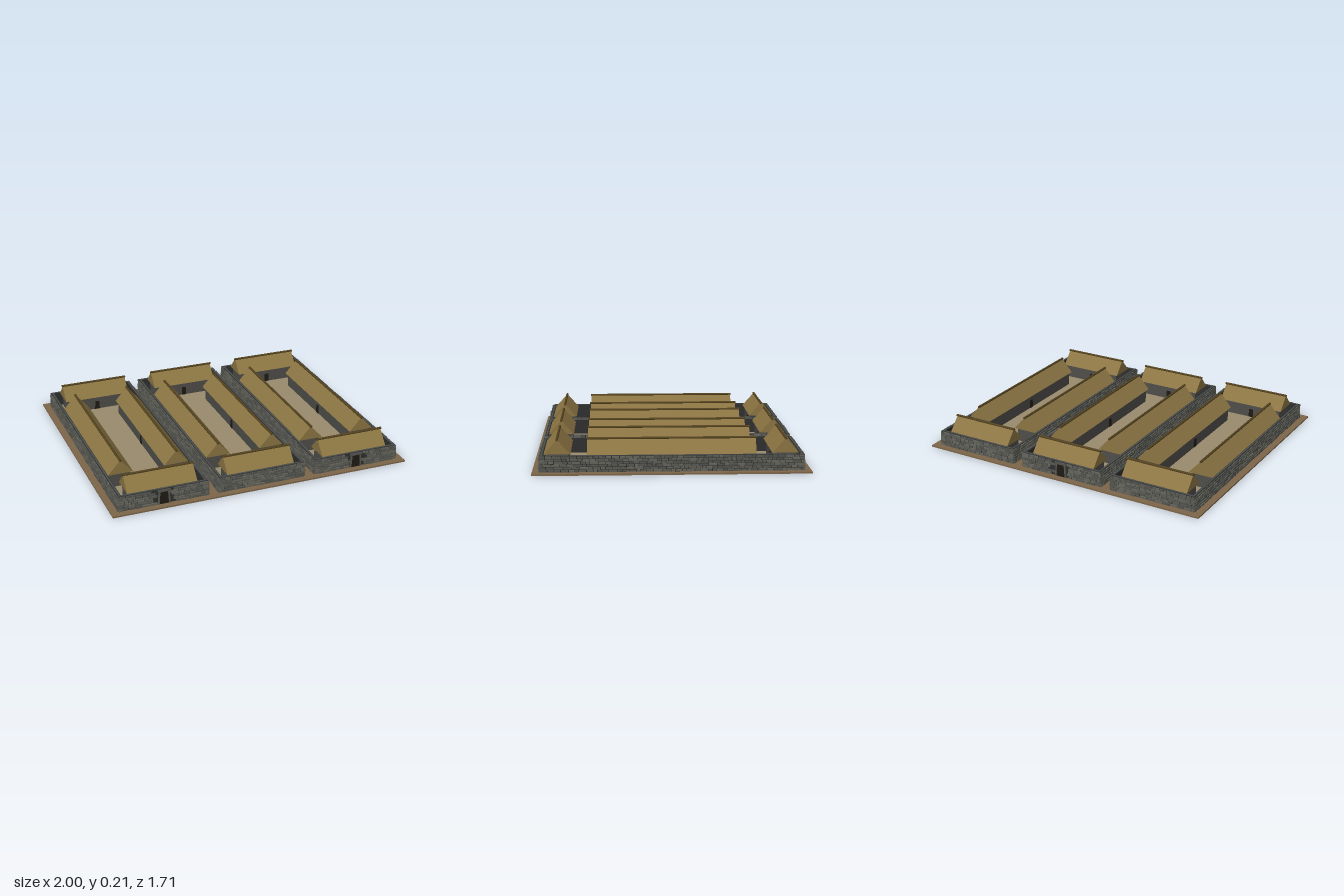
import * as THREE from 'three';
import { mergeGeometries } from 'three/addons/utils/BufferGeometryUtils.js';

const mat = (color) => new THREE.MeshStandardMaterial({ color });
const M = {
  earth: mat(0x7d6649), court: mat(0x9a8b6e), core: mat(0x2e302e), cap: mat(0x4c4f4f),
  stones: [mat(0x5a5a54), mat(0x52534e), mat(0x64645c)],
  house: mat(0x4f4e4a), thatch: mat(0x8c7543), ridge: mat(0x54431f), dark: mat(0x1f1a15),
};

// seeded random numbers for the masonry
let seed = 7;
const rnd = () => (seed = (seed * 16807) % 2147483647) / 2147483647;

const HX = 0.29, HZ = 0.807, WALL_H = 0.11, T = 0.02, BASE = 0.01;

function add(parent, name, geo, material, x = 0, y = 0, z = 0) {
  const mesh = new THREE.Mesh(geo, material);
  mesh.name = name;
  mesh.position.set(x, y, z);
  parent.add(mesh);
  return mesh;
}
const box = (w, h, d) => new THREE.BoxGeometry(w, h, d);

// trapezoid opening, narrower at the top, facing +z
function trapezoid(w, topW, h, depth) {
  const s = new THREE.Shape([
    new THREE.Vector2(-w / 2, 0), new THREE.Vector2(w / 2, 0),
    new THREE.Vector2(topW / 2, h), new THREE.Vector2(-topW / 2, h)]);
  return new THREE.ExtrudeGeometry(s, { depth, bevelEnabled: false });
}

// irregular coursed stones along one wall face; local +z points outwards
function stoneFace(length, buckets, matrix, hasDoor) {
  const rows = 6, rowH = (WALL_H - BASE) / rows;
  for (let r = 0; r < rows; r++) {
    let u = -length / 2;
    while (u < length / 2 - 0.004) {
      let w = 0.022 + rnd() * 0.034;
      if (u + w > length / 2 - 0.015) w = length / 2 - u;
      const mid = u + w / 2;
      u += w;
      if (hasDoor && Math.abs(mid) < 0.034 + w / 2) continue;
      const d = 0.008 + rnd() * 0.004 + (rows - r) * 0.0006;
      const g = box(w - 0.004, rowH - 0.003 - rnd() * 0.002, d);
      g.rotateZ((rnd() - 0.5) * 0.05);
      g.translate(mid, BASE + rowH * (r + 0.5), d / 2 - 0.004);
      g.applyMatrix4(matrix);
      buckets[Math.floor(rnd() * 3)].push(g);
    }
  }
}

// perimeter wall with capping and masonry on the outside
function enclosure(doorSide) {
  const g = new THREE.Group();
  g.name = 'enclosureWall';
  const h = WALL_H - BASE;
  for (const s of [-1, 1]) {
    add(g, 'sideWall', box(T, h, HZ * 2), M.core, s * (HX - T / 2), BASE + h / 2, 0);
    add(g, 'endWall', box((HX - T) * 2, h, T), M.core, 0, BASE + h / 2, s * (HZ - T / 2));
    add(g, 'sideCapping', box(0.01, 0.003, HZ * 2 - 0.014), M.cap, s * (HX - T / 2), WALL_H + 0.001, 0);
    add(g, 'endCapping', box(HX * 2 - 0.014, 0.003, 0.01), M.cap, 0, WALL_H + 0.001, s * (HZ - T / 2));
  }
  const buckets = [[], [], []];
  for (let i = 0; i < 4; i++) {
    const along = i % 2 === 0;
    const m = new THREE.Matrix4().makeRotationY(i * Math.PI / 2);
    m.multiply(new THREE.Matrix4().makeTranslation(0, 0, along ? HZ : HX));
    stoneFace(along ? HX * 2 + 0.008 : HZ * 2 + 0.008, buckets, m, (i === 0 && doorSide > 0) || (i === 2 && doorSide < 0));
  }
  buckets.forEach((b, i) => add(g, 'wallStones', mergeGeometries(b), M.stones[i]));

  // gateway in one end wall
  const gate = new THREE.Group();
  gate.name = 'gateway';
  add(gate, 'gateOpening', trapezoid(0.062, 0.05, 0.085, 0.006), M.dark, 0, BASE, HZ - 0.001);
  add(gate, 'gateLintel', box(0.084, 0.013, 0.018), M.stones[1], 0, 0.101, HZ + 0.002);
  for (const s of [-1, 1]) {
    const jamb = add(gate, 'gateJamb', box(0.01, 0.085, 0.014), M.stones[0], s * 0.033, BASE + 0.0425, HZ + 0.002);
    jamb.rotation.z = s * 0.07;
  }
  if (doorSide < 0) gate.rotation.y = Math.PI;
  g.add(gate);
  return g;
}

// long gabled house: ridge along local x, doorway on local +z
function house(length) {
  const g = new THREE.Group();
  g.name = 'house';
  const bodyL = length - 0.03, eave = 0.107, half = 0.083;
  add(g, 'houseBody', box(bodyL, 0.106, 0.136), M.house, 0, 0.055, 0);
  const tri = new THREE.Shape([
    new THREE.Vector2(-half, eave), new THREE.Vector2(half, eave), new THREE.Vector2(0, 0.2)]);
  const roof = new THREE.ExtrudeGeometry(tri, { depth: length, bevelEnabled: false });
  roof.translate(0, 0, -length / 2).rotateY(Math.PI / 2);
  add(g, 'thatchedRoof', roof, M.thatch);
  const pole = new THREE.CylinderGeometry(0.008, 0.008, length + 0.01, 8).rotateZ(Math.PI / 2);
  add(g, 'ridgePole', pole, M.ridge, 0, 0.198, 0);
  add(g, 'houseDoor', trapezoid(0.034, 0.028, 0.06, 0.004), M.dark, 0, 0.012, 0.067);
  return g;
}

// one walled compound: four houses round a courtyard
function compound(x, doorSide) {
  const g = new THREE.Group();
  g.name = 'compound';
  g.position.x = x;
  add(g, 'courtyardFloor', box((HX - T) * 2, 0.013, (HZ - T) * 2), M.court, 0, 0.0075, 0);
  g.add(enclosure(doorSide));
  for (const s of [-1, 1]) {
    const end = house(0.456);
    end.position.z = s * 0.703;
    end.rotation.y = s > 0 ? Math.PI : 0;
    const side = house(1.04);
    side.position.x = s * 0.186;
    side.rotation.y = -s * Math.PI / 2;
    g.add(end, side);
  }
  return g;
}

export function createModel() {
  const model = new THREE.Group();
  model.name = 'walledCompounds';
  add(model, 'ground', box(2, BASE, 1.71), M.earth, 0, BASE / 2, 0);
  // outer compounds open to the front, the middle one to the back
  [-1, 0, 1].forEach((i) => model.add(compound(i * 0.657, i === 0 ? -1 : 1)));
  return model;
}
